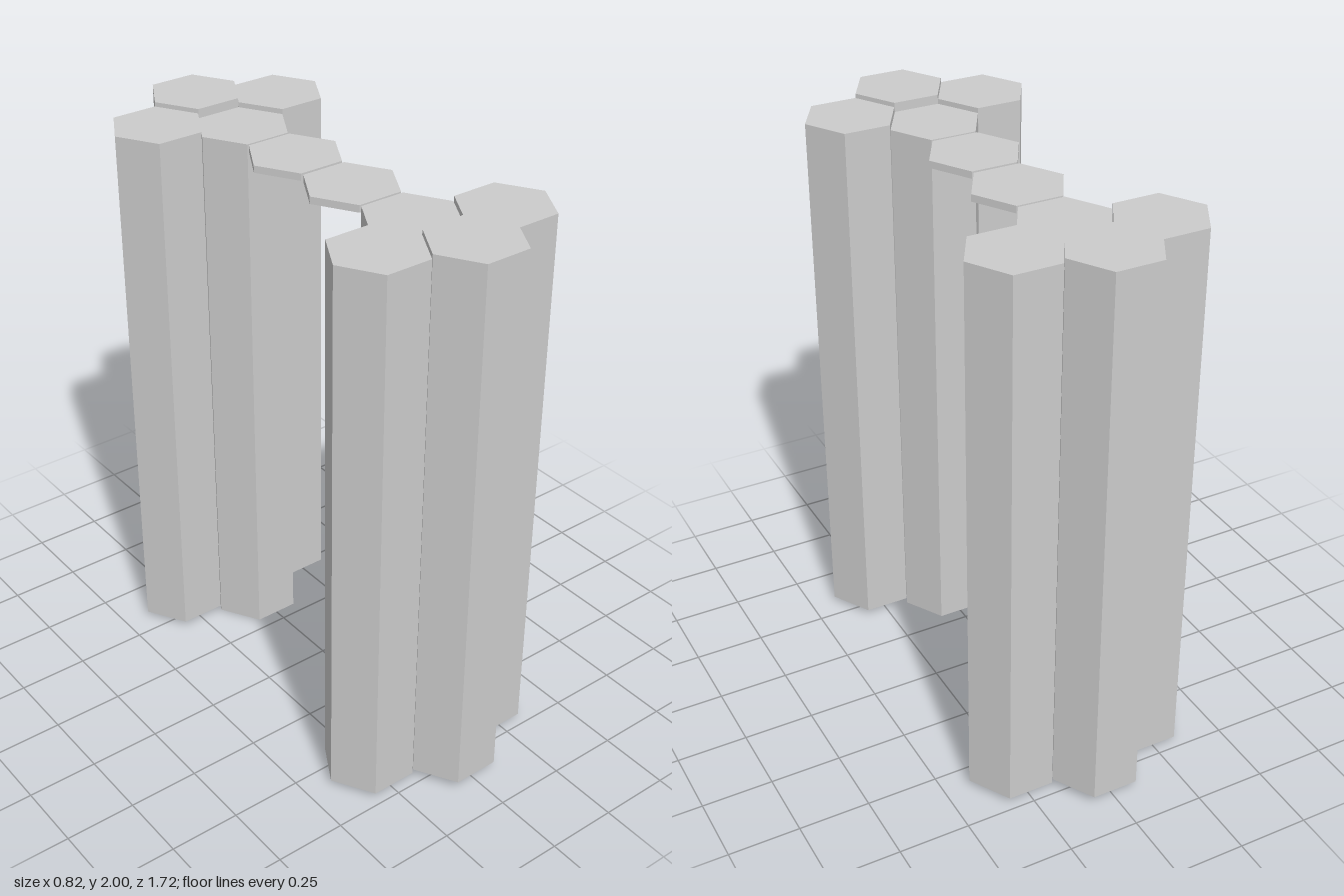
import * as THREE from 'three';

const RADIUS = 0.163;

export function createModel() {
  const model = new THREE.Group();
  const material = new THREE.MeshStandardMaterial({ color: 0xcccccc, flatShading: true });

  // Upright hexagonal prism with two corners pointing along x
  function addHexPrism(name, x, z, bottom, top) {
    const geometry = new THREE.CylinderGeometry(RADIUS, RADIUS, top - bottom, 6, 1, false, Math.PI / 6);
    const mesh = new THREE.Mesh(geometry, material);
    mesh.name = name;
    mesh.position.set(x, (top + bottom) / 2, z);
    model.add(mesh);
  }

  for (const [end, s] of [['front', 1], ['back', -1]]) {
    // Cluster of four columns, stepping down towards the middle
    addHexPrism(end + 'OuterColumn', 0, s * 0.721, 0.035, 2);
    addHexPrism(end + 'LeftColumn', 0.246, s * 0.58, 0.02, 1.985);
    addHexPrism(end + 'RightColumn', -0.246, s * 0.58, 0.02, 1.985);
    addHexPrism(end + 'InnerColumn', 0, s * 0.438, 0, 1.968);
    // Thin stepping tile of the bridge
    addHexPrism(end + 'BridgeTile', 0, s * 0.147, 1.943, 1.968);
  }
  return model;
}
